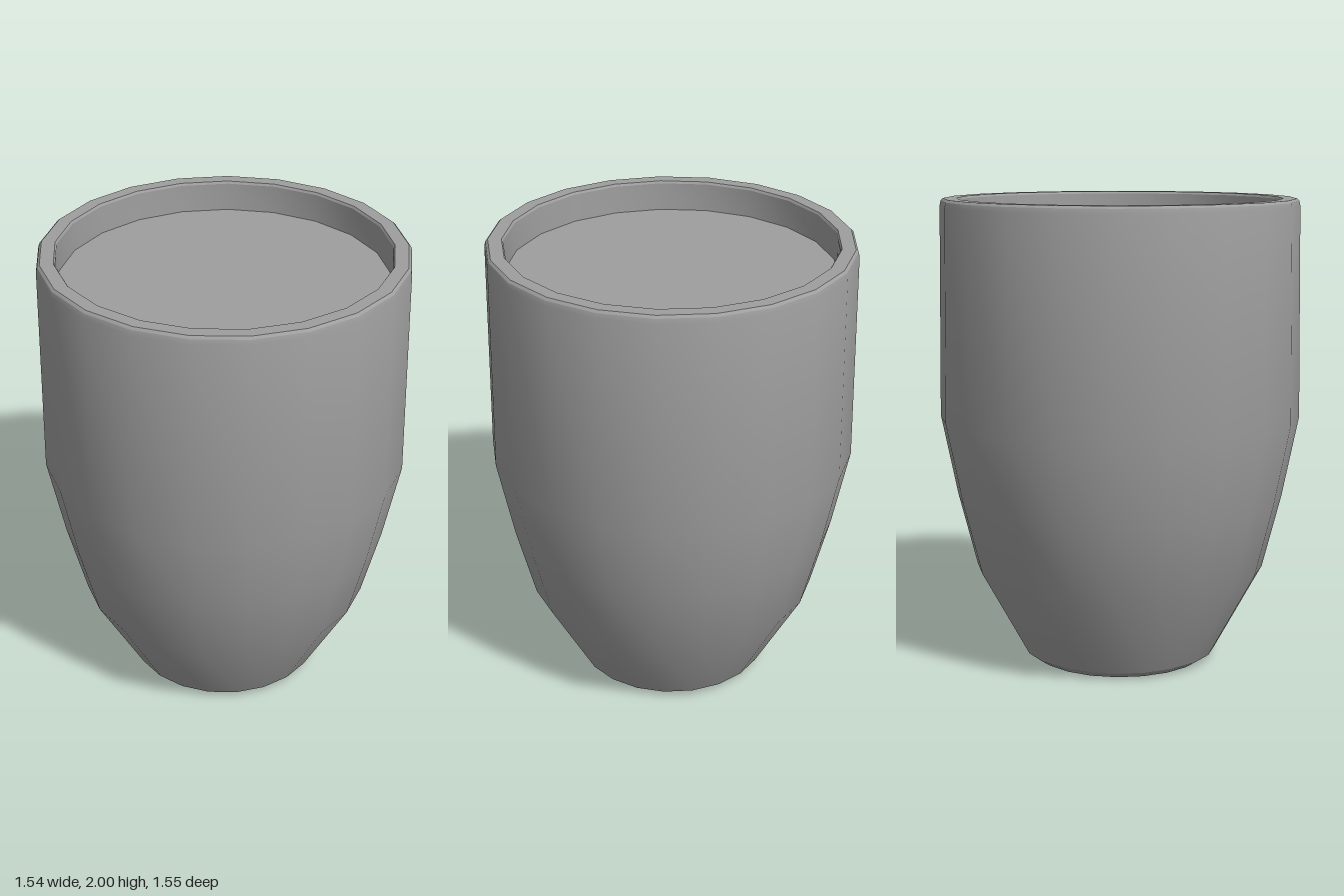
import * as THREE from 'three';
import { toCreasedNormals } from 'three/addons/utils/BufferGeometryUtils.js';

const SIDES = 21;

export function createModel() {
  const model = new THREE.Group();
  model.name = 'cup';
  const material = new THREE.MeshStandardMaterial({ color: 0x9e9e9e });

  function addPart(name, geometry) {
    const mesh = new THREE.Mesh(geometry, material);
    mesh.name = name;
    model.add(mesh);
    return mesh;
  }

  // Revolved shell, with a corner of the polygon on +x
  function revolve(profile) {
    const points = profile.map(([r, y]) => new THREE.Vector2(r, y));
    const lathe = new THREE.LatheGeometry(points, SIDES, Math.PI / 2);
    return toCreasedNormals(lathe, 0.45);
  }

  // Outer wall, rounded rim and inner wall down to the contents
  addPart('cupWall', revolve([
    [0.375, 0], [0.42, 0.03], [0.625, 0.405], [0.705, 0.72], [0.775, 1.07],
    [0.763, 1.97], [0.758, 1.99], [0.748, 2], [0.692, 2], [0.686, 1.99], [0.682, 1.87],
  ]));

  // Flat underside
  addPart('base', new THREE.CircleGeometry(0.375, SIDES).rotateX(Math.PI / 2));

  // Level surface of the contents, just below the rim
  addPart('contentsSurface', new THREE.CircleGeometry(0.682, SIDES).rotateX(-Math.PI / 2))
    .position.y = 1.87;

  // An odd number of sides is wider towards +x, so centre the bounds
  model.children.forEach((part) => { part.position.x = -0.004; });
  return model;
}
